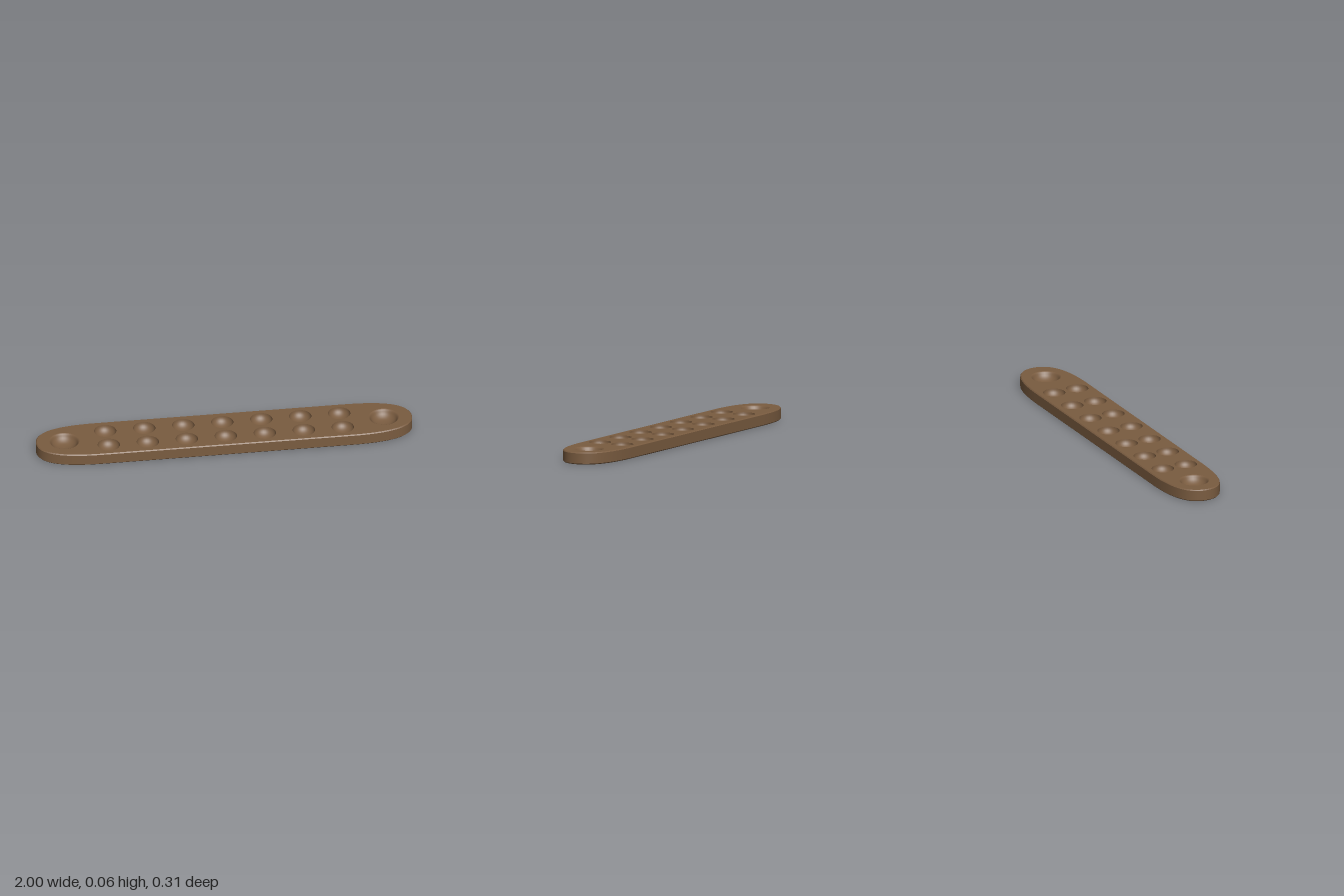
import * as THREE from 'three';
import { toCreasedNormals } from 'three/addons/utils/BufferGeometryUtils.js';

const H = 0.064, BEVEL = 0.005, SIDES = 32;
const PIT_R = 0.059, PIT_DEPTH = 0.046, STORE_R = 0.08;

// Half of the plan outline for one end, from the straight flank round to the other flank
function endCurve() {
  const a = new THREE.CubicBezierCurve(
    new THREE.Vector2(0.66, -0.155), new THREE.Vector2(0.87, -0.155),
    new THREE.Vector2(1, -0.115), new THREE.Vector2(1, 0)).getPoints(24);
  const b = a.slice(0, -1).reverse().map(p => new THREE.Vector2(p.x, -p.y));
  return [...a, ...b];
}

// Counter-clockwise outline, moved inwards along its normals
function outline(inset) {
  const end = endCurve();
  const pts = [...end, ...end.map(p => p.clone().negate())];
  const n = pts.length;
  return pts.map((p, i) => {
    const d = pts[(i + 1) % n].clone().sub(pts[(i + n - 1) % n]).normalize();
    return new THREE.Vector2(p.x - d.y * inset, p.y + d.x * inset);
  });
}

// Rim wall with small bevels, lofted through stacked outlines
function wallGeometry() {
  const rings = [[BEVEL, 0], [0, BEVEL], [0, H - BEVEL], [BEVEL, H]];
  const pos = [], idx = [];
  let n = 0;
  for (const [inset, y] of rings) {
    const pts = outline(inset);
    n = pts.length;
    for (const p of pts) pos.push(p.x, y, -p.y);
  }
  for (let r = 0; r < rings.length - 1; r++) {
    for (let i = 0; i < n; i++) {
      const a = r * n + i, b = r * n + (i + 1) % n;
      idx.push(a, b, b + n, a, b + n, a + n);
    }
  }
  const g = new THREE.BufferGeometry();
  g.setAttribute('position', new THREE.Float32BufferAttribute(pos, 3));
  g.setIndex(idx);
  return toCreasedNormals(g, 0.5);
}

function circlePath(x, z, r) {
  const pts = [];
  for (let i = 0; i < SIDES; i++) {
    const a = -i / SIDES * Math.PI * 2;
    pts.push(new THREE.Vector2(x + Math.cos(a) * r, -z + Math.sin(a) * r));
  }
  return new THREE.Path(pts);
}

export function createModel() {
  const group = new THREE.Group();
  const wood = new THREE.MeshStandardMaterial({ color: 0x7a5c40 });
  wood.name = 'brown wood';
  const add = (name, geometry, x = 0, y = 0, z = 0) => {
    const m = new THREE.Mesh(geometry, wood);
    m.name = name;
    m.position.set(x, y, z);
    group.add(m);
  };

  // Bowl profiles run from the rim down to the centre so they face up
  const pitProfile = [];
  for (let i = 0; i <= 10; i++) {
    const a = i / 10 * Math.PI / 2;
    pitProfile.push(new THREE.Vector2(i === 10 ? 0 : PIT_R * Math.cos(a), -PIT_DEPTH * Math.sin(a)));
  }
  const storeProfile = new THREE.SplineCurve([
    [STORE_R, 0], [0.073, -0.005], [0.06, -0.024], [0.035, -0.04], [0, -0.045],
  ].map(p => new THREE.Vector2(...p))).getPoints(14);
  const pitGeometry = new THREE.LatheGeometry(pitProfile, SIDES);
  const storeGeometry = new THREE.LatheGeometry(storeProfile, SIDES);

  const top = new THREE.Shape(outline(BEVEL));

  // Two rows of seven pits
  for (const z of [-0.068, 0.068]) {
    for (let i = -3; i <= 3; i++) {
      const x = i * 0.2075;
      top.holes.push(circlePath(x, z, PIT_R));
      add('pit', pitGeometry, x, H, z);
    }
  }
  // A larger store at each end
  for (const s of [-1, 1]) {
    top.holes.push(circlePath(s * 0.85, 0, STORE_R));
    add(s > 0 ? 'leftStore' : 'rightStore', storeGeometry, s * 0.85, H, 0);
  }

  // Board surfaces
  add('boardTop', new THREE.ShapeGeometry(top).rotateX(-Math.PI / 2), 0, H, 0);
  add('boardBottom', new THREE.ShapeGeometry(new THREE.Shape(outline(BEVEL))).rotateX(Math.PI / 2));
  add('boardWall', wallGeometry());
  return group;
}
